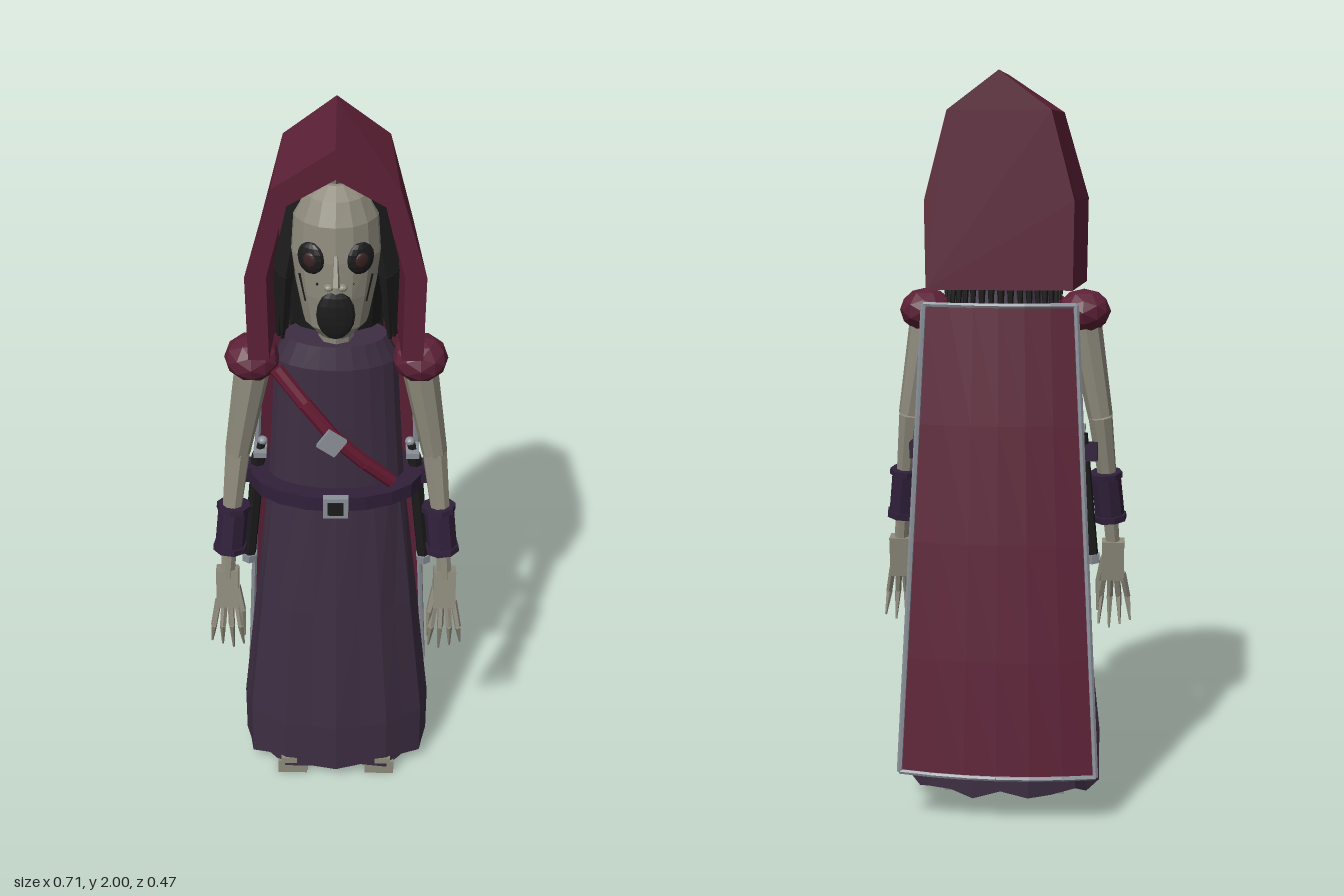
import * as THREE from 'three';

const mat = (name, color, side = THREE.FrontSide) =>
  Object.assign(new THREE.MeshStandardMaterial({ color, flatShading: true, side }), { name });
const V = (x, y, z) => new THREE.Vector3(x, y, z);

export function createModel() {
  const root = new THREE.Group();
  root.name = 'hoodedFigure';
  const red = mat('wine cloth', 0x5c2036, THREE.DoubleSide);
  const purple = mat('purple robe', 0x3d2e42, THREE.DoubleSide);
  const leather = mat('dark purple leather', 0x30203a);
  const bone = mat('bone', 0x8e8a7c);
  const black = mat('black', 0x1b1b1c);
  const silver = mat('silver', 0x8b9098);
  const strapRed = mat('strap red', 0x661a32);
  const pupil = mat('dark red pupil', 0x3a2222);

  const add = (name, geo, material, x = 0, y = 0, z = 0) => {
    const m = new THREE.Mesh(geo, material);
    m.name = name;
    m.position.set(x, y, z);
    root.add(m);
    return m;
  };
  const box = (name, material, w, h, d, x, y, z) =>
    add(name, new THREE.BoxGeometry(w, h, d), material, x, y, z);
  // Tapered rod between two points
  const rod = (name, material, a, b, ra, rb = ra, sides = 6) => {
    const d = b.clone().sub(a);
    const m = add(name, new THREE.CylinderGeometry(rb, ra, d.length(), sides), material);
    m.position.copy(a).addScaledVector(d, 0.5);
    m.quaternion.setFromUnitVectors(V(0, 1, 0), d.normalize());
    return m;
  };
  // Skin over elliptical rings [y, rx, rz, cz], listed bottom to top, with capped ends
  const loft = (rings, sides, shape = () => [1, 0]) => {
    const pos = [], idx = [];
    rings.forEach(([y, rx, rz, cz], r) => {
      for (let i = 0; i < sides; i++) {
        const a = (i / sides) * Math.PI * 2, [k, dy] = shape(i, r);
        pos.push(Math.sin(a) * rx * k, y + dy, cz + Math.cos(a) * rz * k);
      }
    });
    for (let r = 0; r < rings.length - 1; r++)
      for (let i = 0; i < sides; i++) {
        const j = (i + 1) % sides, a = r * sides + i, b = r * sides + j;
        idx.push(a, b, b + sides, a, b + sides, a + sides);
      }
    const n = rings.length, top = rings[n - 1], c = pos.length / 3;
    pos.push(0, rings[0][0] + 0.01, rings[0][3], 0, top[0], top[3]);
    for (let i = 0; i < sides; i++) {
      const j = (i + 1) % sides;
      idx.push(c, j, i, c + 1, (n - 1) * sides + i, (n - 1) * sides + j);
    }
    const g = new THREE.BufferGeometry();
    g.setAttribute('position', new THREE.Float32BufferAttribute(pos, 3));
    g.setIndex(idx);
    g.computeVertexNormals();
    return g;
  };

  // Robe with soft pleats and an uneven hem
  add('robe', loft([
    [0.04, 0.272, 0.152, 0.045], [0.2, 0.272, 0.152, 0.045], [0.6, 0.228, 0.125, 0.045],
    [0.98, 0.185, 0.098, 0.04], [1.2, 0.17, 0.092, 0.042], [1.37, 0.16, 0.09, 0.04],
    [1.43, 0.13, 0.08, 0.035]], 22,
  (i, r) => [r < 3 && i % 2 ? 0.95 : 1, r === 0 ? 0.012 * Math.sin(i * 2.4) : 0]), purple);

  // Belt and its buckle
  add('belt', loft([[0.97, 0.232, 0.142, 0.043], [1.012, 0.232, 0.142, 0.043]], 18), leather);
  box('beltBuckle', silver, 0.066, 0.062, 0.02, 0, 0.99, 0.19);
  box('beltBuckleInset', black, 0.042, 0.038, 0.008, 0, 0.99, 0.2);

  // Chest strap, bowed forward, with a diamond clasp
  const strapPts = [V(-0.15, 1.395, 0.16), V(-0.08, 1.31, 0.187), V(-0.005, 1.215, 0.2), V(0.075, 1.13, 0.187), V(0.145, 1.06, 0.167)];
  for (let i = 0; i < 4; i++) rod('chestStrap', strapRed, strapPts[i], strapPts[i + 1], 0.019, 0.019, 8);
  box('strapClasp', silver, 0.056, 0.056, 0.014, -0.01, 1.215, 0.227).rotation.z = 0.96;

  // Hood: thick arch narrowing to the rear, closed by a back panel
  const outer = [[-0.217, 1.44], [-0.22, 1.67], [-0.152, 1.9], [0, 2], [0.152, 1.9], [0.22, 1.67], [0.217, 1.44]];
  const inner = [[0.165, 1.44], [0.167, 1.67], [0.12, 1.855], [0, 1.925], [-0.12, 1.855], [-0.167, 1.67], [-0.165, 1.44]];
  const slab = (pts, depth, z0) => {
    const shape = new THREE.Shape(pts.map(p => new THREE.Vector2(...p)));
    const g = new THREE.ExtrudeGeometry(shape, { depth, bevelEnabled: false }).translate(0, 0, z0);
    const p = g.attributes.position;
    for (let i = 0; i < p.count; i++)
      p.setX(i, p.getX(i) * THREE.MathUtils.mapLinear(p.getZ(i), -0.133, 0.195, 0.885, 1));
    g.computeVertexNormals();
    return g;
  };
  add('hood', slab([...outer, ...inner], 0.308, -0.113), red);
  add('hoodBack', slab(outer, 0.02, -0.133), red);

  // Skull and neck
  add('skull', loft([
    [1.475, 0.05, 0.06, 0.09], [1.51, 0.082, 0.09, 0.085], [1.6, 0.1, 0.11, 0.075],
    [1.7, 0.115, 0.116, 0.068], [1.79, 0.108, 0.112, 0.062], [1.845, 0.082, 0.09, 0.06],
    [1.87, 0.045, 0.05, 0.06]], 16), bone);
  rod('neck', bone, V(0, 1.4, 0.05), V(0, 1.5, 0.06), 0.045, 0.045, 8);
  const dot = (name, material, x, y, z, rx, ry, rz, yaw = 0) => {
    const m = add(name, new THREE.SphereGeometry(1, 12, 8), material, x, y, z);
    m.scale.set(rx, ry, rz);
    m.rotation.y = yaw;
  };
  dot('mouth', black, 0, 1.56, 0.178, 0.048, 0.068, 0.014);
  rod('noseBridge', bone, V(0, 1.72, 0.178), V(0, 1.65, 0.208), 0.006, 0.011, 5);
  for (const s of [1, -1]) {
    dot('eyeSocket', black, s * 0.06, 1.707, 0.163, 0.037, 0.042, 0.014, s * 0.5);
    dot('pupil', pupil, s * 0.063, 1.707, 0.174, 0.018, 0.02, 0.006, s * 0.5);
    dot('nostril', bone, s * 0.017, 1.645, 0.197, 0.012, 0.009, 0.012);
    rod('cheekCrease', black, V(s * 0.087, 1.65, 0.131), V(s * 0.074, 1.58, 0.143), 0.005, 0.003, 4);
    rod('cheekHollow', black, V(s * 0.042, 1.645, 0.172), V(s * 0.056, 1.615, 0.16), 0.004, 0.003, 4);
  }

  // Hair: a cap behind the skull and hanging strands round the sides and back
  add('hairCap', loft([
    [1.45, 0.115, 0.07, 0], [1.7, 0.13, 0.105, 0.01], [1.82, 0.115, 0.1, 0.02],
    [1.885, 0.06, 0.06, 0.03]], 14), black);
  for (let i = 0; i <= 24; i++) {
    const t = i / 24 * 2 - 1, a = t * 2.05;
    const x = Math.sin(a), z = -Math.cos(a), back = Math.max(0, -z);
    const low = 1.42 - back * (0.05 + 0.04 * ((i * 7) % 5) / 4);
    const mid = V(x * 0.14, 1.62, 0.025 + z * 0.115);
    rod('hairStrand', black, mid, V(x * 0.09, 1.86, 0.04 + z * 0.08), 0.02, 0.014, 5);
    rod('hairStrand', black, V(x * 0.155, low, 0.01 + z * 0.085), mid, 0.005, 0.02, 5);
  }

  // Cape: gently bowed sheet with a silver border
  const capeAt = (u, v) => V(u * (0.2 + 0.065 * v), 1.4 - 1.26 * v, -0.14 - 0.09 * v + (0.026 + 0.006 * v) * u * u);
  const capeGeo = new THREE.PlaneGeometry(2, 1, 6, 4);
  const cp = capeGeo.attributes.position;
  for (let i = 0; i < cp.count; i++) {
    const p = capeAt(cp.getX(i), 0.5 - cp.getY(i));
    cp.setXYZ(i, p.x, p.y, p.z);
  }
  capeGeo.computeVertexNormals();
  add('cape', capeGeo, red);
  for (const e of [0, 1]) {
    for (let i = 0; i < 6; i++)
      rod('capeTrim', silver, capeAt(i / 3 - 1, e), capeAt((i + 1) / 3 - 1, e), 0.007);
    rod('capeSideTrim', silver, capeAt(e * 2 - 1, 0), capeAt(e * 2 - 1, 1), 0.008);
  }

  for (const s of [1, -1]) {
    // Shoulder pad
    const pad = add('shoulderPad', new THREE.IcosahedronGeometry(1, 1), red, s * 0.215, 1.37, 0.058);
    pad.scale.set(0.073, 0.06, 0.077);

    // Arm bones, bracer and cuffs
    const shoulder = V(s * 0.212, 1.36, 0.06), elbow = V(s * 0.262, 1.08, 0.062), wrist = V(s * 0.3, 0.7, 0.115);
    rod('upperArm', bone, shoulder, elbow, 0.048, 0.034, 8);
    rod('forearm', bone, elbow, V(s * 0.283, 0.9, 0.09), 0.034, 0.026, 8);
    rod('wrist', bone, V(s * 0.283, 0.9, 0.09), wrist, 0.024, 0.02, 8);
    rod('bracer', leather, V(s * 0.278, 0.915, 0.085), V(s * 0.291, 0.79, 0.1), 0.041, 0.041, 8);
    rod('bracerTopCuff', leather, V(s * 0.277, 0.922, 0.084), V(s * 0.278, 0.906, 0.086), 0.047, 0.047, 8);
    rod('bracerBottomCuff', leather, V(s * 0.29, 0.8, 0.099), V(s * 0.2915, 0.783, 0.101), 0.047, 0.047, 8);

    // Hand with curved fingers and thumb
    box('palm', bone, 0.062, 0.115, 0.04, s * 0.3, 0.665, 0.118).rotation.x = -0.15;
    for (let i = 0; i < 4; i++) {
      const x = s * (0.276 + i * 0.017), out = s * (i - 1.2) * 0.008;
      const tip = 0.46 + 0.012 * Math.abs(i - 1);
      const knuckle = V(x + out, 0.55, 0.15);
      rod('fingerBase', bone, V(x, 0.625, 0.128), knuckle, 0.01, 0.009, 5);
      rod('fingerTip', bone, knuckle, V(x + out * 1.6, tip, 0.135), 0.009, 0.003, 5);
    }
    rod('thumbBase', bone, V(s * 0.275, 0.67, 0.125), V(s * 0.26, 0.6, 0.142), 0.012, 0.01, 5);
    rod('thumbTip', bone, V(s * 0.26, 0.6, 0.142), V(s * 0.256, 0.51, 0.142), 0.01, 0.003, 5);

    // Sheathed dagger at the hip
    const hilt = V(s * 0.21, 1.04, 0.018), tip = V(s * 0.245, 0.69, 0.015);
    rod('scabbard', black, hilt, tip, 0.02, 0.018, 6);
    rod('scabbardTip', silver, V(s * 0.244, 0.705, 0.015), V(s * 0.246, 0.68, 0.015), 0.023, 0.021, 6);
    rod('daggerGrip', black, hilt, V(s * 0.2, 1.08, 0.018), 0.012, 0.012, 6);
    box('daggerGuard', silver, 0.035, 0.016, 0.06, s * 0.205, 1.055, 0.018);
    dot('daggerPommel', silver, s * 0.198, 1.085, 0.018, 0.014, 0.012, 0.014);
    box('scabbardLoop', leather, 0.05, 0.045, 0.055, s * 0.232, 0.99, 0.018);

    // Foot and ankle
    box('foot', bone, 0.085, 0.045, 0.145, s * 0.128, 0.0225, 0.098);
    box('toeTop', bone, 0.065, 0.02, 0.075, s * 0.128, 0.055, 0.14);
    rod('ankle', bone, V(s * 0.128, 0.03, 0.06), V(s * 0.12, 0.2, 0.05), 0.025, 0.025, 6);
  }
  return root;
}
